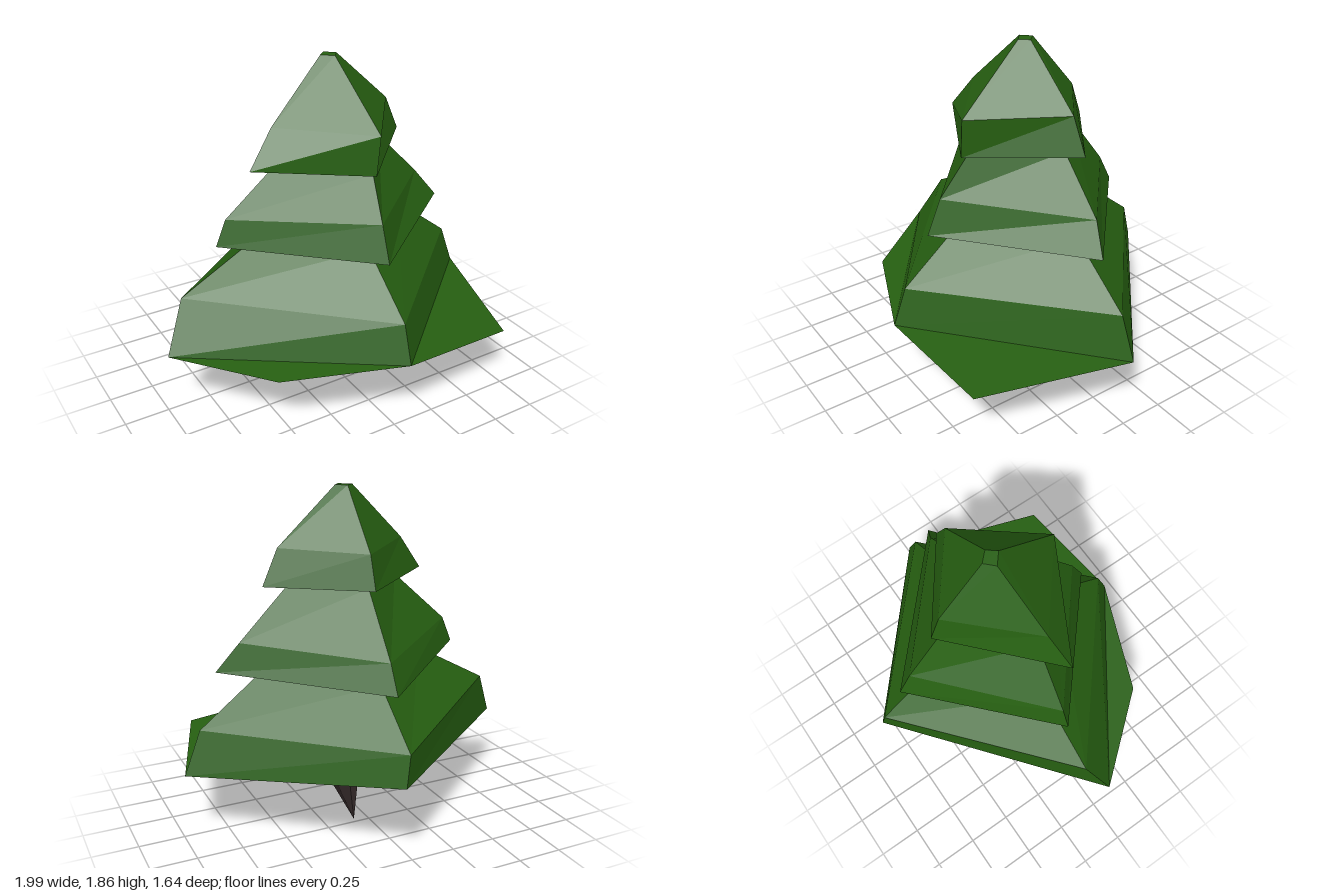
import * as THREE from 'three';

const leafGreen = new THREE.MeshStandardMaterial({ name: 'leafGreen', color: 0x265f11 });
const barkBrown = new THREE.MeshStandardMaterial({ name: 'barkBrown', color: 0x342929 });

// Faceted mesh from a list of triangles (unshared corners give flat faces)
function facets(name, triangles, material) {
  const geometry = new THREE.BufferGeometry();
  geometry.setAttribute('position', new THREE.Float32BufferAttribute(triangles.flat(2), 3));
  geometry.computeVertexNormals();
  const mesh = new THREE.Mesh(geometry, material);
  mesh.name = name;
  return mesh;
}

// Skin between successive rings, listed from top to bottom
function loft(rings) {
  const tris = [];
  for (let k = 0; k + 1 < rings.length; k++) {
    const a = rings[k], b = rings[k + 1], n = a.length;
    for (let i = 0; i < n; i++) {
      const j = (i + 1) % n;
      tris.push([b[i], b[j], a[j]], [b[i], a[j], a[i]]);
    }
  }
  return tris;
}

export function createModel() {
  const tree = new THREE.Group();
  tree.name = 'tree';

  // Each ring: front, +x, back, -x corner
  const tip = [[0.06, 1.86, 0.02], [0.10, 1.86, -0.03], [0.05, 1.86, -0.08], [0, 1.86, -0.03]];
  const topMid = [[0.105, 1.525, 0.395], [0.44, 1.555, -0.05], [0.05, 1.54, -0.35], [-0.335, 1.545, 0.04]];
  const topRim = [[0.085, 1.31, 0.395], [0.53, 1.36, -0.06], [0.05, 1.36, -0.41], [-0.49, 1.35, 0.09]];
  const middleTop = [[0.085, 1.31, 0.36], [0.39, 1.345, -0.04], [0.05, 1.36, -0.33], [-0.29, 1.34, 0.02]];
  const middleMid = [[0.05, 1.09, 0.51], [0.66, 1.07, -0.04], [0.05, 1.03, -0.58], [-0.59, 1.06, -0.02]];
  const middleRim = [[0.045, 0.895, 0.59], [0.78, 0.91, 0.01], [0.05, 0.875, -0.66], [-0.65, 0.915, -0.02]];
  const lowerTop = [[0.045, 0.9, 0.40], [0.53, 0.9, -0.03], [0.05, 0.88, -0.48], [-0.43, 0.9, -0.02]];
  const lowerMid = [[0.045, 0.62, 0.745], [0.895, 0.62, -0.04], [0.05, 0.62, -0.80], [-0.865, 0.66, -0.03]];
  const lowerRim = [[0.04, 0.41, 0.82], [0.99, 0.38, -0.05], [0.08, 0.45, -0.82], [-1, 0.39, 0.07]];

  // Tiers, each with its underside reaching in to the next one
  const cap = [[tip[0], tip[1], tip[2]], [tip[0], tip[2], tip[3]]];
  tree.add(facets('topTier', [...cap, ...loft([tip, topMid, topRim, middleTop])], leafGreen));
  tree.add(facets('middleTier', loft([middleTop, middleMid, middleRim, lowerTop]), leafGreen));
  tree.add(facets('lowerTier', loft([lowerTop, lowerMid, lowerRim]), leafGreen));

  // Two drooping points at the front of the lowest tier
  const [front, plusX, back, minusX] = lowerRim;
  const droopLeft = [0.73, 0.36, 0.76], droopRight = [-0.6, 0.385, 0.56];
  tree.add(facets('droopingTips', [[droopLeft, plusX, front], [droopRight, front, minusX]], leafGreen));

  // Underside
  const centre = [0.03, 0.405, 0];
  const edge = [front, droopLeft, plusX, back, minusX, droopRight];
  tree.add(facets('underside', edge.map((p, i) => [centre, edge[(i + 1) % edge.length], p]), leafGreen));

  // Trunk: tapers down to a slanted ridge running front to back
  const hidden = [[-0.1, 0.46, 0.02], [0.18, 0.46, 0], [0.12, 0.46, -0.215], [0.03, 0.46, -0.2]];
  const collar = [[-0.08, 0.36, 0.065], [0.16, 0.345, 0.075], [0.12, 0.38, -0.215], [0.03, 0.37, -0.2]];
  const toe = [0.04, 0.05, 0.17], heel = [0.08, 0, -0.22];
  tree.add(facets('trunk', [
    ...loft([hidden, collar]),
    [toe, collar[1], collar[0]],
    [toe, heel, collar[1]],
    [heel, collar[2], collar[1]],
    [heel, collar[3], collar[2]],
    [heel, collar[0], collar[3]],
    [heel, toe, collar[0]],
  ], barkBrown));

  return tree;
}
